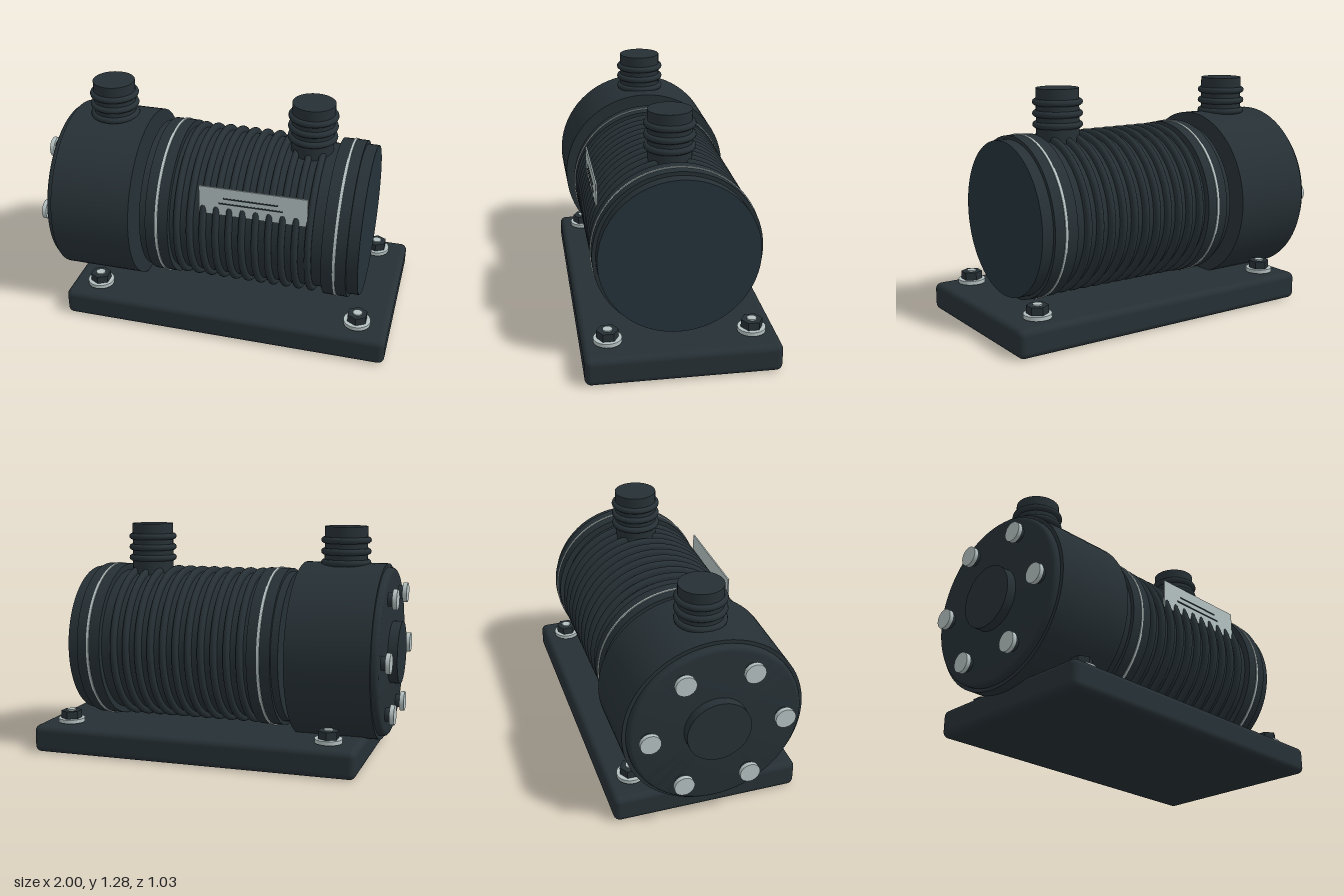
import * as THREE from 'three';
import { toCreasedNormals } from 'three/addons/utils/BufferGeometryUtils.js';
import { RoundedBoxGeometry } from 'three/addons/geometries/RoundedBoxGeometry.js';

const dark = new THREE.MeshStandardMaterial({ color: 0x263035 });
const blueDark = new THREE.MeshStandardMaterial({ color: 0x24313a });
const silver = new THREE.MeshStandardMaterial({ color: 0xb4c0c0 });
const AXIS_Y = 0.6;

export function createModel() {
  const model = new THREE.Group();

  function add(name, geometry, material, x = 0, y = 0, z = 0, parent = model) {
    const mesh = new THREE.Mesh(geometry, material);
    mesh.name = name;
    mesh.position.set(x, y, z);
    parent.add(mesh);
    return mesh;
  }

  // Turned part around the x axis; profile is a list of [x, radius]
  function turned(name, profile, material, segments = 72) {
    const points = profile.map(([x, r]) => new THREE.Vector2(r, x));
    const geometry = toCreasedNormals(new THREE.LatheGeometry(points, segments), 0.6);
    geometry.rotateZ(-Math.PI / 2);
    return add(name, geometry, material, 0, AXIS_Y, 0);
  }

  // Base plate
  add('basePlate', new RoundedBoxGeometry(1.85, 0.155, 1.03, 4, 0.035), dark, 0.075, 0.0775, 0);

  // Finned motor housing with end collars
  const housing = [[-0.41, 0], [-0.41, 0.425], [-0.37, 0.425], [-0.37, 0.445], [-0.24, 0.445], [-0.24, 0.41]];
  for (let i = 0; i < 11; i++) {
    const x = -0.195 + i * 0.0733;
    housing.push([x - 0.018, 0.41]);
    for (let k = 0; k <= 6; k++) {
      const a = Math.PI * (1 - k / 6);
      housing.push([x + 0.018 * Math.cos(a), 0.424 + 0.018 * Math.sin(a)]);
    }
    housing.push([x + 0.018, 0.41]);
  }
  housing.push([0.615, 0.41], [0.615, 0.445], [0.75, 0.445], [0.75, 0.425], [0.81, 0.425]);
  turned('motorHousing', housing, dark);
  turned('motorEndCap', [[0.80, 0.424], [0.812, 0.424], [0.812, 0]], blueDark);

  // Metal bands on the collars
  for (const x of [-0.305, 0.685]) {
    turned('clampBand', [[x - 0.007, 0.44], [x - 0.007, 0.45], [x + 0.007, 0.45], [x + 0.007, 0.44]], silver);
  }

  // Pump head with rounded cover and centre hub
  turned('pumpHead', [[-0.91, 0], [-0.91, 0.485], [-0.455, 0.485], [-0.455, 0]], dark);
  const cover = [[-0.948, 0]];
  for (let k = 0; k <= 5; k++) {
    const a = (k / 5) * Math.PI / 2;
    cover.push([-0.923 - 0.025 * Math.cos(a), 0.44 + 0.025 * Math.sin(a)]);
  }
  cover.push([-0.9, 0.465]);
  turned('pumpCover', cover, dark);
  turned('coverHub', [[-1, 0], [-1, 0.172], [-0.94, 0.172]], dark, 48);

  // Ring of cover bolts
  for (let i = 0; i < 6; i++) {
    const a = i * Math.PI / 3;
    const bolt = new THREE.Group();
    bolt.name = 'coverBolt';
    bolt.position.set(0, AXIS_Y + 0.36 * Math.sin(a), 0.36 * Math.cos(a));
    const head = new THREE.CylinderGeometry(0.055, 0.055, 0.024, 24).rotateZ(Math.PI / 2);
    const shank = new THREE.CylinderGeometry(0.038, 0.038, 0.05, 20).rotateZ(Math.PI / 2);
    add('boltHead', head, silver, -0.986, 0, 0, bolt);
    add('boltShank', shank, dark, -0.955, 0, 0, bolt);
    model.add(bolt);
  }

  // Hose ports with ribs
  for (const x of [-0.68, 0.465]) {
    const port = new THREE.Group();
    port.name = 'hosePort';
    port.position.x = x;
    add('portTube', new THREE.CylinderGeometry(0.118, 0.118, 0.3, 40), dark, 0, 1.135, 0, port);
    for (const y of [1.087, 1.148, 1.21]) {
      add('portRib', new THREE.TorusGeometry(0.12, 0.018, 10, 40).rotateX(Math.PI / 2), dark, 0, y, 0, port);
    }
    model.add(port);
  }

  // Mounting nuts on washers at the plate corners
  for (const x of [-0.68, 0.825]) {
    for (const z of [-0.38, 0.38]) {
      const mount = new THREE.Group();
      mount.name = 'mountingNut';
      mount.position.set(x, 0, z);
      add('washer', new THREE.CylinderGeometry(0.075, 0.075, 0.022, 32), silver, 0, 0.174, 0, mount);
      add('stem', new THREE.CylinderGeometry(0.04, 0.04, 0.03, 20), dark, 0, 0.16, 0, mount);
      add('hexNut', toCreasedNormals(new THREE.CylinderGeometry(0.058, 0.058, 0.044, 6), 0.4), dark, 0, 0.206, 0, mount);
      add('stud', new THREE.CylinderGeometry(0.026, 0.026, 0.03, 20), silver, 0, 0.22, 0, mount);
      model.add(mount);
    }
  }

  // Rating plate with plain engraved bars
  const plate = new THREE.Group();
  plate.name = 'ratingPlate';
  add('plateSheet', new THREE.BoxGeometry(0.595, 0.165, 0.008), silver, 0.228, 0.828, 0.392, plate);
  for (const [y, width] of [[0.85, 0.3], [0.818, 0.35]]) {
    add('plateBar', new THREE.BoxGeometry(width, 0.008, 0.003), dark, 0.215, y, 0.397, plate);
  }
  model.add(plate);

  return model;
}
